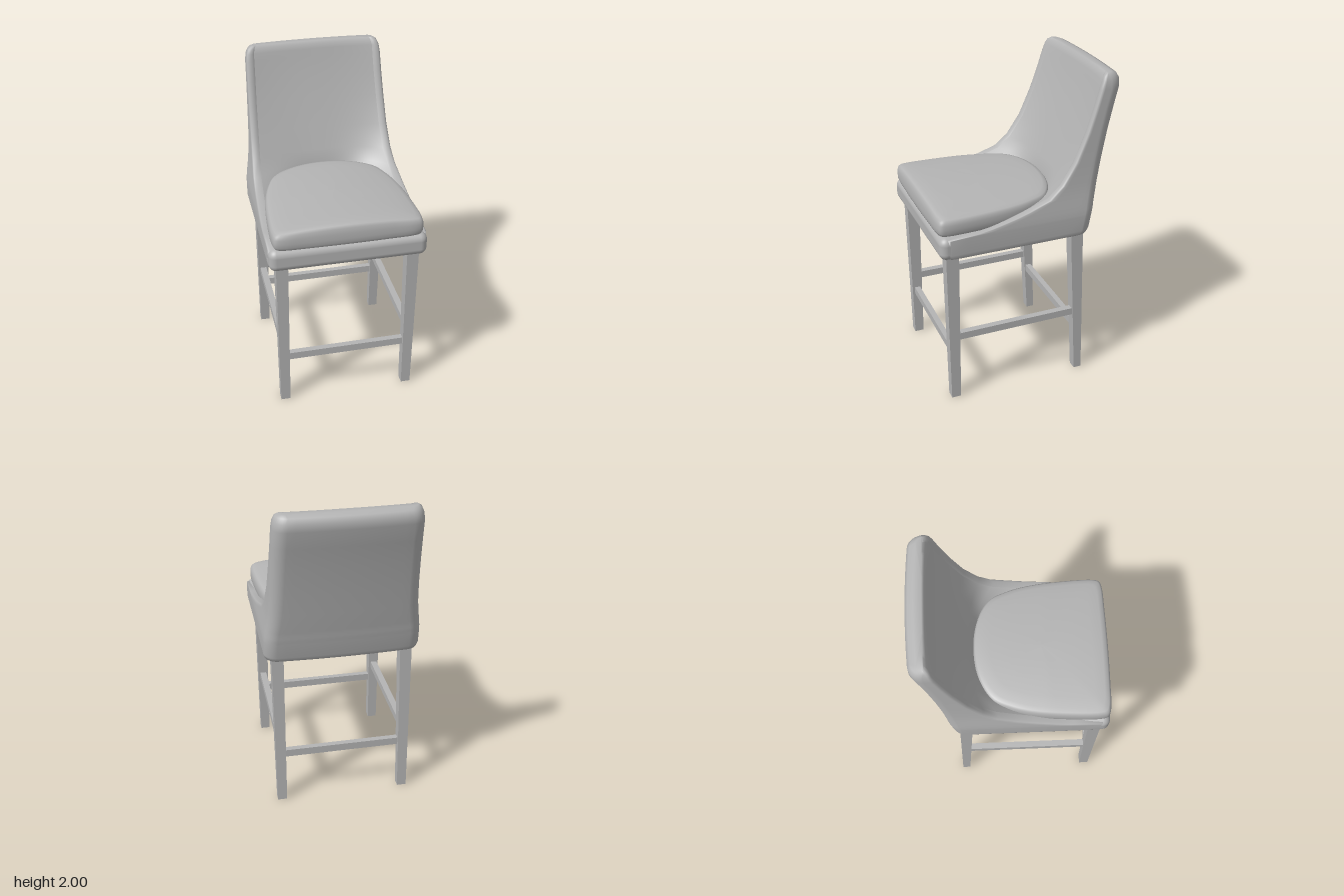
import * as THREE from 'three';
import { RoundedBoxGeometry } from 'three/addons/geometries/RoundedBoxGeometry.js';

const grey = new THREE.MeshStandardMaterial({ color: 0xb4b4b4 });
grey.name = 'plain grey';

// Skin a stack of closed rings (each counter-clockwise seen from above, bottom ring first)
function loft(rings, capped) {
  const n = rings[0].length, last = (rings.length - 1) * n, index = [];
  for (let j = 0; j < rings.length - 1; j++) {
    for (let i = 0; i < n; i++) {
      const a = j * n + i, b = j * n + (i + 1) % n;
      index.push(a, b, b + n, a, b + n, a + n);
    }
  }
  if (capped) { // close a U-shaped ring by joining its outer and inner runs
    for (let k = 0; k < n / 2 - 1; k++) {
      const o = k, p = k + 1, q = n - 2 - k, r = n - 1 - k;
      index.push(last + o, last + p, last + q, last + o, last + q, last + r);
      index.push(o, q, p, o, r, q);
    }
  }
  const g = new THREE.BufferGeometry();
  g.setAttribute('position', new THREE.Float32BufferAttribute(rings.flat(2), 3));
  g.setIndex(index);
  g.computeVertexNormals();
  return g;
}

// U-shaped level of the shell: half width, outer back, wing front, inner back, wing thickness
function shellRing([y, w, zb, zf, zi, t]) {
  const r = Math.min(0.075, (zf - zb) * 0.6), half = [];
  half.push([w - 0.3 * t, zf], [w - 0.08 * t, zf - 0.1 * t]);
  const z0 = zf - 0.3 * t;
  for (let i = 0; i < 8; i++) half.push([w, z0 + (zb + r - z0) * i / 8]);
  for (let i = 0; i <= 8; i++) {
    const a = i / 8 * Math.PI / 2;
    half.push([w - r + r * Math.cos(a), zb + r - r * Math.sin(a)]);
  }
  for (let i = 1; i <= 8; i++) half.push([(w - r) * (1 - i / 8), zb]);
  const bowed = half.map(([x, z]) => [x, z + (z < zb + r ? 0.018 * (x / w) ** 2 : 0.018 * ((w - r) / w) ** 2 * (z < z0 ? 1 - (z - zb - r) / (z0 - zb - r + 1e-6) : 0))]);
  const outer = [...bowed, ...bowed.slice(0, -1).reverse().map(([x, z]) => [-x, z])];
  const inner = outer.map((_, k) => {
    if (k === 0 || k === outer.length - 1) return [(k ? -1 : 1) * (w - 0.7 * t), zf];
    const u = Math.cos((k - 1) / (outer.length - 3) * Math.PI);
    return [u * (w - t), zi + (zf - 0.2 * t - zi) * Math.abs(u) ** 2.5];
  });
  return [...outer, ...inner.reverse()].map(([x, z]) => [x, y, z]);
}

function makeShell() {
  return loft([
    [1.012, 0.455, -0.37, 0.50, -0.24, 0.05],
    [1.022, 0.470, -0.39, 0.52, -0.24, 0.05],
    [1.05, 0.477, -0.402, 0.53, -0.24, 0.05],
    [1.145, 0.476, -0.42, 0.53, -0.24, 0.05],
    [1.157, 0.475, -0.422, 0.35, -0.24, 0.05],
    [1.17, 0.474, -0.425, 0.27, -0.24, 0.05],
    [1.188, 0.472, -0.428, 0.19, -0.24, 0.05],
    [1.208, 0.469, -0.431, 0.105, -0.24, 0.05],
    [1.23, 0.466, -0.435, 0.03, -0.24, 0.05],
    [1.278, 0.458, -0.445, -0.106, -0.242, 0.05],
    [1.352, 0.449, -0.459, -0.19, -0.268, 0.05],
    [1.485, 0.441, -0.484, -0.276, -0.318, 0.05],
    [1.66, 0.435, -0.52, -0.35, -0.38, 0.05],
    [1.80, 0.430, -0.555, -0.397, -0.425, 0.05],
    [1.91, 0.427, -0.584, -0.43, -0.457, 0.05],
    [1.955, 0.421, -0.584, -0.445, -0.467, 0.045],
    [1.984, 0.409, -0.567, -0.458, -0.477, 0.04],
    [1.998, 0.390, -0.535, -0.476, -0.49, 0.03],
  ].map(shellRing), true);
}

// Pillow with a straight front, rounded back and crowned top
function makeCushion() {
  const side = [[0.25, 0.582], [0.40, 0.576], [0.437, 0.562], [0.449, 0.525], [0.443, 0.3],
    [0.42, 0.1], [0.385, -0.03], [0.33, -0.14], [0.2, -0.215]];
  const plan = [[0, 0.585], ...side, [0, -0.245], ...side.map(([x, z]) => [-x, z]).reverse()];
  const curve = new THREE.CatmullRomCurve3(plan.map(([x, z]) => new THREE.Vector3(x, 0, z)), true);
  const outline = curve.getPoints(96).slice(0, 96);
  // scale, height, share of the crown
  const rows = [[0, 1.153, 0], [0.93, 1.153, 0], [0.98, 1.162, 0], [0.997, 1.18, 0], [1, 1.205, 0],
    [0.998, 1.23, 0.3], [0.985, 1.25, 0.7], [0.96, 1.26, 0.9], [0.9, 1.265, 1], [0.75, 1.268, 1],
    [0.5, 1.27, 1], [0.25, 1.27, 1], [0, 1.27, 1]];
  return loft(rows.map(([s, y, c]) => outline.map((p) => {
    const x = p.x * s, z = 0.17 + (p.z - 0.17) * s;
    return [x, y + c * (0.03 * (1 - (x / 0.45) ** 2) - (z < 0.2 ? 0.02 * (0.2 - z) : 0)), z];
  })), false);
}

// Square tapered leg: [x min, x max, z min, z max] at the floor and under the seat
function makeLeg(foot, top) {
  const g = new THREE.BoxGeometry(1, 1, 1), p = g.attributes.position;
  for (let i = 0; i < p.count; i++) {
    const e = p.getY(i) > 0 ? top : foot;
    p.setXYZ(i, e[p.getX(i) > 0 ? 1 : 0], p.getY(i) > 0 ? 1.03 : 0, e[p.getZ(i) > 0 ? 3 : 2]);
  }
  g.computeVertexNormals();
  return g;
}

export function createModel() {
  const model = new THREE.Group();
  model.name = 'counterStool';
  const add = (name, geometry, x = 0, y = 0, z = 0) => {
    const mesh = new THREE.Mesh(geometry, grey);
    mesh.name = name;
    mesh.position.set(x, y, z);
    model.add(mesh);
  };

  // Upholstery
  add('backShell', makeShell());
  add('seatBase', new RoundedBoxGeometry(0.95, 0.142, 0.93, 5, 0.045), 0, 1.084, 0.112);
  add('seatCushion', makeCushion());

  // Legs and side rails, mirrored
  for (const [side, s] of [['left', 1], ['right', -1]]) {
    const span = (a, b) => (s > 0 ? [a, b] : [-b, -a]);
    add(side + 'FrontLeg', makeLeg([...span(0.366, 0.425), 0.463, 0.522], [...span(0.36, 0.433), 0.455, 0.535]));
    add(side + 'BackLeg', makeLeg([...span(0.366, 0.425), -0.375, -0.325], [...span(0.36, 0.433), -0.345, -0.265]));
    add(side + 'Rail', new THREE.BoxGeometry(0.04, 0.046, 0.78), s * 0.397, 0.442, 0.085);
  }

  // Cross rails
  add('frontRail', new THREE.BoxGeometry(0.75, 0.048, 0.036), 0, 0.334, 0.493);
  add('backRail', new THREE.BoxGeometry(0.75, 0.048, 0.036), 0, 0.334, -0.33);
  return model;
}
